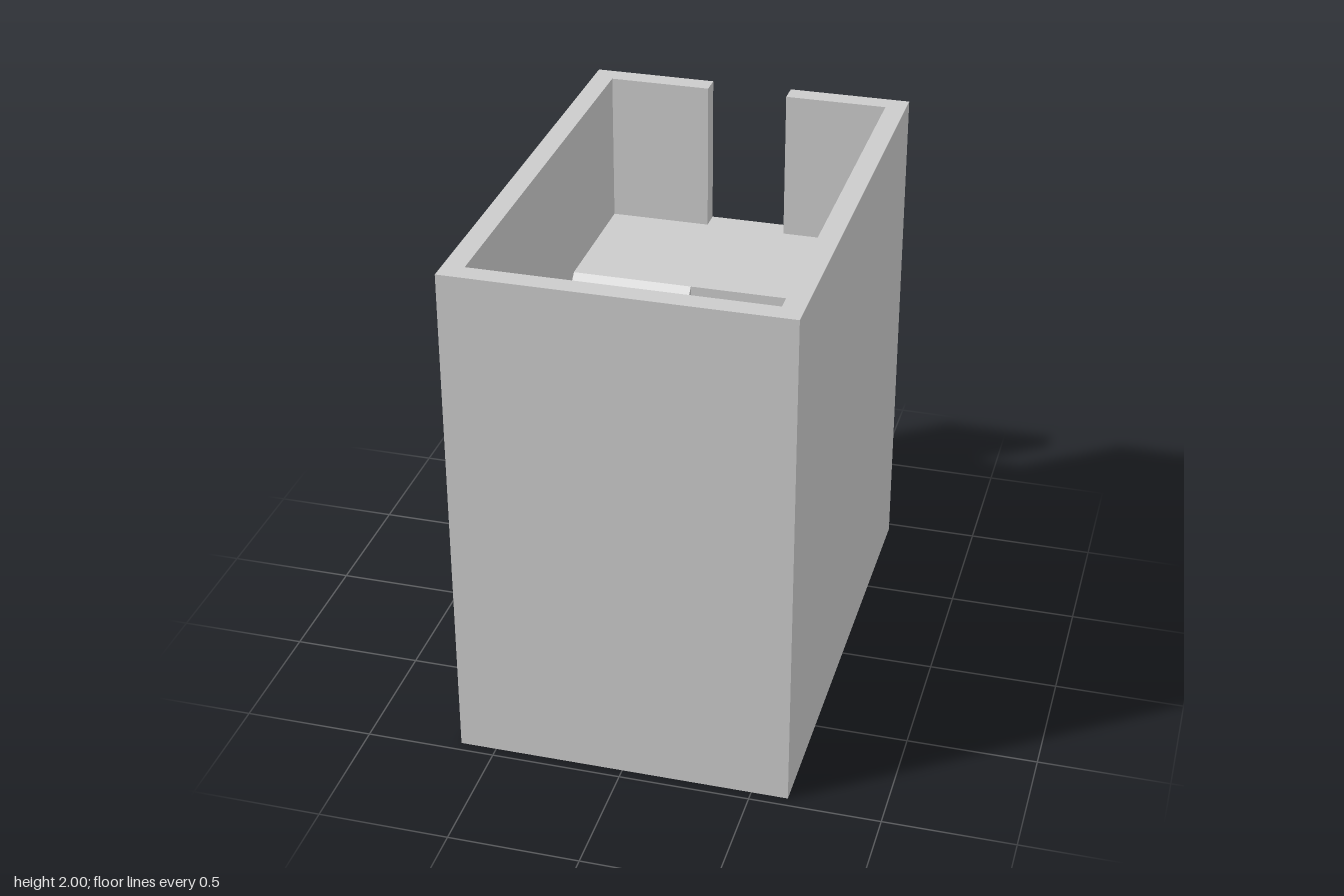
import * as THREE from 'three';

const material = new THREE.MeshStandardMaterial({ color: 0xcccccc, flatShading: true });
const T = 0.08;                 // wall and slab thickness
const W = 0.64, D = 0.96;       // outer half width and half depth
const IW = W - T, ID = D - T;   // inner half width and half depth
const SLOT = 0.16;              // half width of the back openings
const WELL = 0.32;              // half length of the stairwell
const FLOOR = 0.08, LANDING = 0.74, UPPER = 1.4, TOP = 2;

const shapeOf = (points) => new THREE.Shape(points.map(([a, b]) => new THREE.Vector2(a, b)));

function addMesh(group, name, geometry) {
  const mesh = new THREE.Mesh(geometry, material);
  mesh.name = name;
  group.add(mesh);
  return mesh;
}

// Plan outline given as [x, z], raised from y0 to y1
function plan(points, y0, y1) {
  const shape = shapeOf(points.map(([x, z]) => [x, -z]));
  return new THREE.ExtrudeGeometry(shape, { depth: y1 - y0, bevelEnabled: false })
    .rotateX(-Math.PI / 2).translate(0, y0, 0);
}

// Sloping slab between z = -WELL (yBack) and z = WELL (yFront)
function ramp(yBack, yFront, x0, x1) {
  const shape = shapeOf([
    [-WELL, yBack - T], [WELL, yFront - T], [WELL, yFront], [-WELL, yBack],
  ]);
  return new THREE.ExtrudeGeometry(shape, { depth: x1 - x0, bevelEnabled: false })
    .rotateY(-Math.PI / 2).translate(x1, 0, 0);
}

export function createModel() {
  const model = new THREE.Group();
  model.name = 'stairwellTower';

  // Ground slab
  addMesh(model, 'groundFloor', plan([[-W, -D], [-W, D], [W, D], [W, -D]], 0, FLOOR));

  // Outer walls in one run, open at the middle of the back
  addMesh(model, 'outerWalls', plan([
    [-SLOT, -D], [-W, -D], [-W, D], [W, D], [W, -D], [SLOT, -D],
    [SLOT, -ID], [IW, -ID], [IW, ID], [-IW, ID], [-IW, -ID], [-SLOT, -ID],
  ], FLOOR, TOP));

  // Upper floor, with a tongue that bridges the back opening
  addMesh(model, 'upperFloor', plan([
    [-IW, -ID], [-IW, -WELL], [IW, -WELL], [IW, -ID],
    [SLOT, -ID], [SLOT, -D], [-SLOT, -D], [-SLOT, -ID],
  ], UPPER - T, UPPER));

  // Half-height landing at the front
  addMesh(model, 'landing', plan(
    [[-IW, WELL], [-IW, ID], [IW, ID], [IW, WELL]], LANDING - T, LANDING));

  // Two opposing ramps with a gap between them
  addMesh(model, 'lowerRamp', ramp(FLOOR, LANDING, T, IW));
  addMesh(model, 'upperRamp', ramp(UPPER, LANDING, -IW, -T));

  return model;
}
